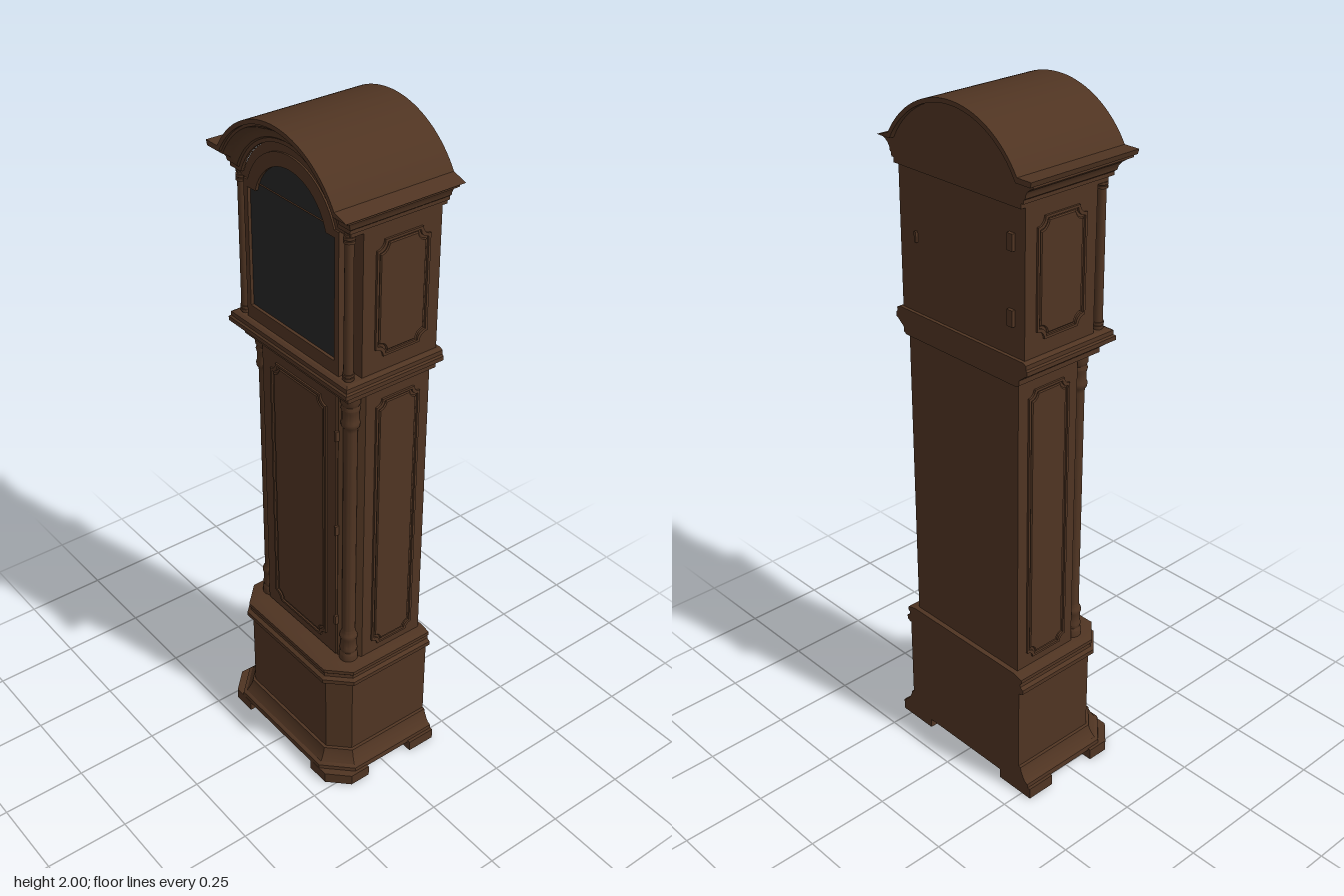
import * as THREE from 'three';
import { toCreasedNormals } from 'three/addons/utils/BufferGeometryUtils.js';

const wood = new THREE.MeshStandardMaterial({ color: 0x4f3422 });
wood.name = 'dark wood';
const glass = new THREE.MeshStandardMaterial({ color: 0x262626 });
glass.name = 'dark glass';

const ARCH_Y = 1.723; // centre shared by every arch of the hood

export function createModel() {
  const clock = new THREE.Group();
  clock.name = 'longcaseClock';

  function add(name, geo, x = 0, y = 0, z = 0, mat = wood) {
    const mesh = new THREE.Mesh(geo, mat);
    mesh.name = name;
    mesh.position.set(x, y, z);
    clock.add(mesh);
    return mesh;
  }

  // Skin between rows of points, with optional closed rings and end caps
  function skin(rows, closed) {
    const pos = [];
    const tri = (...pts) => pts.forEach((p) => pos.push(...p));
    const n = rows[0].length;
    for (let i = 0; i + 1 < rows.length; i++) {
      for (let j = 0; j < (closed ? n : n - 1); j++) {
        const k = (j + 1) % n;
        tri(rows[i][j], rows[i + 1][j], rows[i + 1][k]);
        tri(rows[i][j], rows[i + 1][k], rows[i][k]);
      }
    }
    if (closed) {
      const top = rows[rows.length - 1];
      for (let j = 1; j + 1 < n; j++) {
        tri(rows[0][0], rows[0][j], rows[0][j + 1]);
        tri(top[0], top[j + 1], top[j]);
      }
    }
    const geo = new THREE.BufferGeometry();
    geo.setAttribute('position', new THREE.Float32BufferAttribute(pos, 3));
    return toCreasedNormals(geo, 0.4);
  }

  // Flat-backed plan with chamfered front corners, stacked by [outset, y]
  function stack(name, w, front, back, chamfer, profile) {
    const rows = profile.map(([o, y]) => {
      const t = o * 0.414;
      const half = chamfer
        ? [[w + o, back], [w + o, front - chamfer + t], [w - chamfer + t, front + o]]
        : [[w + o, back], [w + o, front + o]];
      const mirrored = half.map(([x, z]) => [-x, z]).reverse();
      return [...half, ...mirrored].map(([x, z]) => [x, y, z]);
    });
    add(name, skin(rows, true));
  }

  const extrude = (shape, depth, bevel = 0) => toCreasedNormals(new THREE.ExtrudeGeometry(shape, {
    depth, curveSegments: 28, bevelEnabled: bevel > 0, bevelSize: bevel,
    bevelThickness: bevel, bevelOffset: -bevel, bevelSegments: 1,
  }), 0.4);

  // Rectangle with an arched head
  function archShape(w, bottom, shoulder, r) {
    const s = new THREE.Shape();
    const a = Math.asin((shoulder - ARCH_Y) / r);
    s.moveTo(-w, bottom);
    s.lineTo(w, bottom);
    s.lineTo(w, shoulder);
    s.absarc(0, ARCH_Y, r, a, Math.PI - a, false);
    s.lineTo(-w, shoulder);
    s.closePath();
    return s;
  }

  // Rectangle with scooped corners
  function scoopShape(w, h, c) {
    const s = new THREE.Shape();
    s.moveTo(w, h - c);
    [[w, h], [-w, h], [-w, -h], [w, -h]].forEach(([x, y], i) => {
      const a = (i - 1) * Math.PI / 2;
      s.absarc(x, y, c, a, a - Math.PI / 2, true);
    });
    s.closePath();
    return s;
  }

  // Raised field inside a thin bead
  function panel(name, w, h, c, x, y, z, turn) {
    const bead = scoopShape(w, h, c);
    bead.holes.push(scoopShape(w - 0.007, h - 0.007, c));
    add(name + 'Bead', extrude(bead, 0.006), x, y, z).rotation.y = turn;
    add(name, extrude(scoopShape(w - 0.012, h - 0.012, c), 0.001, 0.003), x, y, z).rotation.y = turn;
  }

  // Bracket feet
  const frontFoot = [[0.155, 0.192], [0.226, 0.192], [0.283, 0.135], [0.283, 0.07],
    [0.225, 0.07], [0.225, 0.11], [0.2, 0.135], [0.155, 0.135]];
  const backFoot = [[0.283, -0.09], [0.283, -0.18], [0.155, -0.18], [0.155, -0.15],
    [0.225, -0.15], [0.225, -0.09]];
  for (const side of [1, -1]) {
    for (const [name, pts] of [['frontFoot', frontFoot], ['backFoot', backFoot]]) {
      const s = new THREE.Shape(pts.map(([x, z]) => new THREE.Vector2(side * x, -z)));
      add(name, extrude(s, 0.034)).rotation.x = -Math.PI / 2;
    }
  }

  // Base with flared skirt and upper moulding
  stack('skirt', 0.235, 0.153, -0.18, 0.055,
    [[0.039, 0.03], [0.037, 0.045], [0.027, 0.05], [0.02, 0.06], [0.011, 0.078], [0.008, 0.09], [0, 0.092]]);
  stack('base', 0.235, 0.153, -0.18, 0.055, [[0, 0.085], [0, 0.37]]);
  stack('baseMoulding', 0.235, 0.153, -0.18, 0.055,
    [[0.004, 0.355], [0.016, 0.36], [0.016, 0.373], [0.006, 0.38], [0.005, 0.39], [0.01, 0.395], [0.01, 0.406], [-0.02, 0.414]]);

  // Trunk with door and corner columns
  stack('trunk', 0.213, 0.097, -0.165, 0.05, [[0, 0.41], [0, 1.32]]);
  add('trunkDoor', new THREE.BoxGeometry(0.322, 0.885, 0.02), 0, 0.862, 0.093);
  panel('trunkDoorPanel', 0.122, 0.415, 0.025, 0, 0.863, 0.102, 0);
  for (const y of [0.55, 0.87, 1.18]) {
    add('trunkDoorHinge', new THREE.BoxGeometry(0.008, 0.03, 0.012), 0.163, y, 0.102);
  }
  const turned = [[0.027, 0], [0.027, 0.022], [0.023, 0.03], [0.026, 0.04], [0.023, 0.05],
    [0.023, 0.075], [0.026, 0.083], [0.025, 0.093], [0.02, 0.1], [0.019, 0.11]];
  const columnProfile = [...turned, ...turned.map(([r, y]) => [r, 0.9 - y]).reverse()]
    .map(([r, y]) => new THREE.Vector2(r, y));
  for (const side of [1, -1]) {
    add('trunkColumn', toCreasedNormals(new THREE.LatheGeometry(columnProfile, 20), 0.6),
      side * 0.187, 0.412, 0.076);
    panel('trunkSidePanel', 0.073, 0.42, 0.02, side * 0.213, 0.86, -0.058, side * Math.PI / 2);
  }
  stack('trunkMoulding', 0.225, 0.115, -0.175, 0,
    [[-0.01, 1.31], [0, 1.316], [0, 1.33], [0.01, 1.338], [0.022, 1.348], [0.03, 1.352], [0.03, 1.364], [0.025, 1.368], [0.025, 1.38], [0.015, 1.385]]);

  // Hood case, arched door and glass
  add('hoodCase', extrude(archShape(0.235, 1.38, 1.8, 0.212), 0.245), 0, 0, -0.165);
  const fascia = archShape(0.235, 1.785, 1.8, 0.212);
  fascia.holes.push(archShape(0.1375, 1.786, 1.787, 0.15));
  add('hoodFascia', extrude(fascia, 0.04), 0, 0, 0.078);
  const doorFrame = archShape(0.195, 1.386, 1.785, 0.187);
  const opening = archShape(0.178, 1.425, 1.765, 0.15);
  doorFrame.holes.push(opening);
  add('hoodDoorFrame', extrude(doorFrame, 0.045), 0, 0, 0.078);
  add('hoodGlass', extrude(opening, 0.008), 0, 0, 0.106, glass);

  // Free-standing hood columns and side panels
  for (const side of [1, -1]) {
    add('hoodColumn', new THREE.CylinderGeometry(0.0115, 0.013, 0.41, 16), side * 0.22, 1.585, 0.111);
    for (const y of [1.392, 1.402, 1.77, 1.78]) {
      add('hoodColumnRing', new THREE.CylinderGeometry(0.0155, 0.0155, 0.007, 16), side * 0.22, y, 0.111);
    }
    panel('hoodSidePanel', 0.084, 0.162, 0.025, side * 0.235, 1.59, -0.043, side * Math.PI / 2);
  }

  // Cornice: moulding returns along the sides and follows the arch in front
  const cornice = [[0, 0], [0.009, 0], [0.009, 0.01], [0.014, 0.014], [0.016, 0.024],
    [0.022, 0.034], [0.033, 0.042], [0.042, 0.046], [0.042, 0.053]];
  const steps = 32;
  const rows = cornice.map(([o, h]) => {
    const r = 0.212 + h, y = 1.8 + h, z = 0.119 + o, w = 0.235 + o;
    const a = Math.acos((y - ARCH_Y) / r);
    const row = [[w, y, -0.18], [w, y, z]];
    for (let i = 0; i <= steps; i++) {
      const t = a * (1 - 2 * i / steps);
      row.push([Math.sin(t) * r, ARCH_Y + Math.cos(t) * r, z]);
    }
    row.push([-w, y, z], [-w, y, -0.18]);
    return row;
  });
  add('cornice', skin(rows, false));
  const edge = [...rows.map((r) => r[0]), ...rows[rows.length - 1].slice(2, -2),
    ...rows.map((r) => r[r.length - 1]).reverse()];
  const backShape = new THREE.Shape(edge.map(([x, y]) => new THREE.Vector2(x, y)));
  add('corniceBack', new THREE.ShapeGeometry(backShape), 0, 0, -0.18).rotation.y = Math.PI;
  add('corniceSoffit', new THREE.BoxGeometry(0.47, 0.014, 0.016), 0, 1.793, -0.172);

  // Arched roof board
  const roof = new THREE.Shape();
  const a1 = Math.asin((1.867 - ARCH_Y) / 0.277);
  const a0 = Math.asin((1.853 - ARCH_Y) / 0.265);
  roof.moveTo(0.285, 1.867);
  roof.absarc(0, ARCH_Y, 0.277, a1, Math.PI - a1, false);
  roof.lineTo(-0.285, 1.867);
  roof.lineTo(-0.281, 1.853);
  roof.absarc(0, ARCH_Y, 0.265, Math.PI - a0, a0, true);
  roof.lineTo(0.281, 1.853);
  roof.closePath();
  add('roof', extrude(roof, 0.365), 0, 0, -0.195);

  // Hinges and latch on the back of the hood
  for (const y of [1.49, 1.69]) {
    add('backHinge', new THREE.BoxGeometry(0.02, 0.045, 0.012), -0.19, y, -0.169);
  }
  add('backLatch', new THREE.BoxGeometry(0.008, 0.03, 0.008), 0.17, 1.6, -0.168);

  return clock;
}
